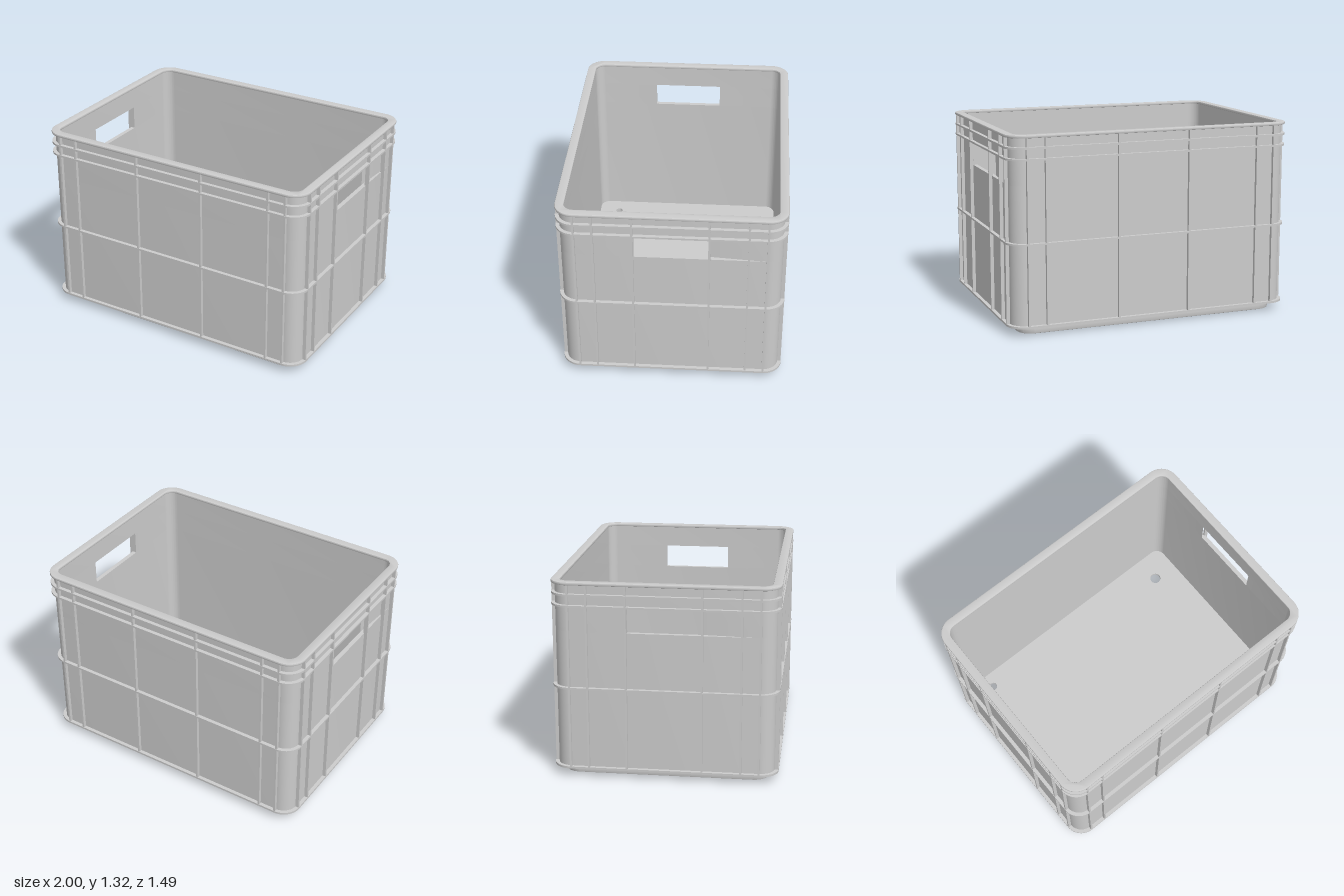
import * as THREE from 'three';
import { toCreasedNormals } from 'three/addons/utils/BufferGeometryUtils.js';

const material = new THREE.MeshStandardMaterial({ color: 0xcccccc });

// Outline of a rectangle with rounded corners, half sizes hx and hz
function roundedRect(hx, hz, r, path = new THREE.Shape()) {
  path.moveTo(hx, -hz + r);
  path.lineTo(hx, hz - r);
  path.absarc(hx - r, hz - r, r, 0, Math.PI / 2, false);
  path.absarc(-hx + r, hz - r, r, Math.PI / 2, Math.PI, false);
  path.absarc(-hx + r, -hz + r, r, Math.PI, Math.PI * 1.5, false);
  path.absarc(hx - r, -hz + r, r, Math.PI * 1.5, Math.PI * 2, false);
  return path;
}

// Shape in plan, raised from y0 to y1
function raise(shape, y0, y1, bevel = 0) {
  const g = new THREE.ExtrudeGeometry(shape, {
    depth: y1 - y0 - 2 * bevel, curveSegments: 8, bevelEnabled: bevel > 0,
    bevelSize: bevel, bevelThickness: bevel, bevelOffset: -bevel, bevelSegments: 2,
  });
  g.rotateX(-Math.PI / 2).translate(0, y0 + bevel, 0);
  return toCreasedNormals(g, 0.6);
}

// Rounded rectangular frame
function frame(hx, hz, r, width, y0, y1, bevel = 0) {
  const shape = roundedRect(hx, hz, r);
  shape.holes.push(roundedRect(hx - width, hz - width, r - width, new THREE.Path()));
  return raise(shape, y0, y1, bevel);
}

export function createModel() {
  const crate = new THREE.Group();
  crate.name = 'crate';

  const add = (name, geometry, parent = crate) => {
    const mesh = new THREE.Mesh(geometry, material);
    mesh.name = name;
    parent.add(mesh);
    return mesh;
  };
  const box = (name, w, h, d, x, y, z, parent) =>
    add(name, new THREE.BoxGeometry(w, h, d).translate(x, y, z), parent);
  const group = (name) => {
    const g = new THREE.Group();
    g.name = name;
    crate.add(g);
    return g;
  };

  const X = 0.975, Z = 0.72, R = 0.1, T = 0.03; // wall half sizes, corner, thickness
  const handleLow = 0.99, handleHigh = 1.155, handleHalf = 0.24;

  // Walls below and above the handle openings
  add('lowerWall', frame(X, Z, R, T, 0.055, handleLow));
  add('upperWall', frame(X, Z, R, T, handleHigh, 1.31));

  // Front and back halves of the wall between the handle openings
  const half = new THREE.Shape();
  half.moveTo(X, handleHalf);
  half.absarc(X - R, Z - R, R, 0, Math.PI / 2, false);
  half.absarc(-X + R, Z - R, R, Math.PI / 2, Math.PI, false);
  half.lineTo(-X, handleHalf);
  half.lineTo(-X + T, handleHalf);
  half.absarc(-X + R, Z - R, R - T, Math.PI, Math.PI / 2, true);
  half.absarc(X - R, Z - R, R - T, Math.PI / 2, 0, true);
  half.lineTo(X - T, handleHalf);
  const band = raise(half, handleLow, handleHigh);
  add('backHandleBand', band);
  add('frontHandleBand', band.clone().rotateY(Math.PI));

  // Horizontal ribs around the crate and the top lip
  const hoops = group('horizontalRibs');
  for (const [y0, y1] of [[0.055, 0.069], [0.604, 0.617], [1.155, 1.168], [1.228, 1.242]])
    add('horizontalRib', frame(1, 0.745, 0.125, 0.045, y0, y1), hoops);
  add('topLip', frame(1, 0.745, 0.125, 0.06, 1.3, 1.32, 0.006));

  // Vertical ribs on all four sides
  const ribs = group('verticalRibs');
  const ribHeight = 1.25, ribY = 0.06 + ribHeight / 2;
  for (const s of [-1, 1]) {
    for (const x of [-0.875, -0.75, -0.25, 0.25, 0.75, 0.875])
      box('longSideRib', 0.013, ribHeight, 0.03, x, ribY, s * 0.728, ribs);
    for (const z of [-0.62, -0.5, -0.247, 0.247, 0.5, 0.62])
      box('shortSideRib', 0.03, ribHeight, 0.013, s * 0.983, ribY, z, ribs);
  }

  // Floor with a small drain hole near each corner
  const floor = roundedRect(0.96, 0.705, 0.08);
  for (const [x, z, r] of [[-0.77, -0.59, 0.03], [0.76, -0.5, 0.04], [0.77, 0.46, 0.025], [-0.82, 0.54, 0.025]]) {
    const hole = new THREE.Path();
    hole.absarc(x, -z, r, 0, Math.PI * 2, true);
    floor.holes.push(hole);
  }
  add('floor', raise(floor, 0.045, 0.065));

  // Stacking foot and the grid of ribs under the floor
  add('stackingFoot', frame(0.92, 0.68, 0.1, 0.05, 0, 0.055, 0.008));
  const grid = group('floorRibs');
  for (const x of [-0.62, -0.31, 0, 0.31, 0.62])
    box('floorCrossRib', 0.014, 0.04, 1.28, x, 0.03, 0, grid);
  for (const z of [-0.33, 0, 0.33])
    box('floorLongRib', 1.76, 0.04, 0.014, 0, 0.03, z, grid);

  return crate;
}
